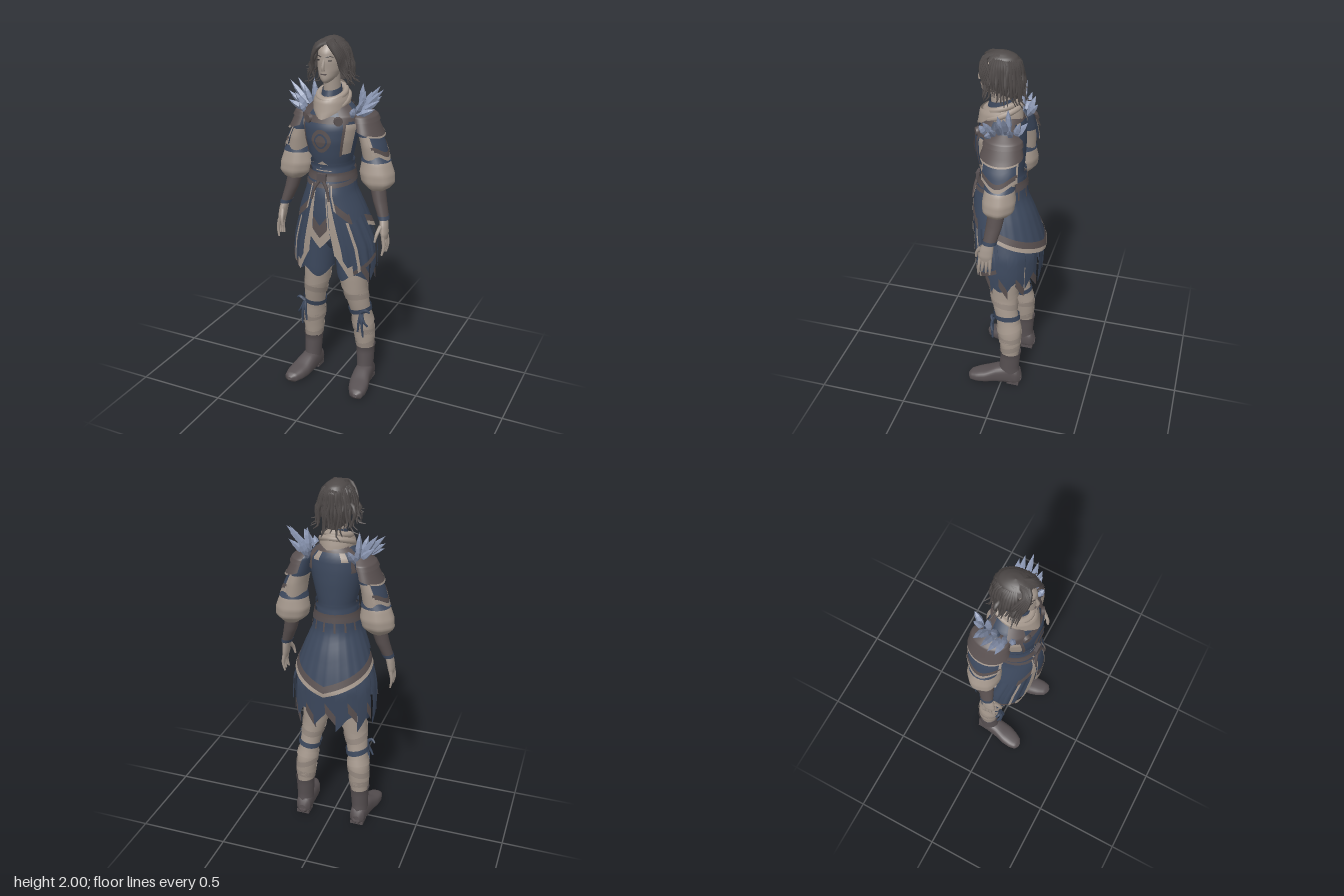
import * as THREE from 'three';
import { mergeVertices } from 'three/addons/utils/BufferGeometryUtils.js';

const mat = (name, color) => Object.assign(new THREE.MeshStandardMaterial({ color, side: THREE.DoubleSide }), { name });
const skin = mat('skin', 0xa5998f), cloth = mat('beige cloth', 0xa5988d), bandage = mat('bandage', 0x978b82);
const navy = mat('navy cloth', 0x3c485d), brown = mat('brown trim', 0x595050), leather = mat('boot leather', 0x575052);
const hair = mat('hair', 0x4d4847), crystal = mat('crystal', 0x8a96b2), dark = mat('dark details', 0x2c2a2d);
crystal.flatShading = true;
const PI = Math.PI, V = (p) => new THREE.Vector3(...p);

// Linear lookup in rows sorted by falling or rising first value
function lookup(rows, k) {
  const up = rows[1][0] > rows[0][0] ? 1 : -1;
  let i = 0;
  while (i < rows.length - 2 && (k - rows[i + 1][0]) * up > 0) i++;
  const a = rows[i], b = rows[i + 1], t = THREE.MathUtils.clamp((k - a[0]) / (b[0] - a[0]), 0, 1);
  return a.map((v, j) => v + (b[j] - v) * t);
}

function add(group, name, geo, material) {
  const mesh = new THREE.Mesh(geo, material);
  mesh.name = name;
  group.add(mesh);
  return mesh;
}

// Surface wrapped round a profile of [y, centreX, radiusX, frontZ, backZ]; angle 0 is the front.
// flare pushes the lower edge out, lean turns the cloth sideways as it falls from the waist
function wrap(group, name, material, profile, o = {}) {
  const { a0 = -PI, a1 = PI, top = profile[0][0], bot = profile[profile.length - 1][0], push = 0, pleat = 0, flare = 0, lean = 0, n = 28, m = 14, p = 1 } = o;
  let geo = new THREE.PlaneGeometry(1, 1, n, m);
  const pos = geo.attributes.position, pw = (v) => Math.sign(v) * Math.abs(v) ** p;
  const val = (f, a) => (typeof f === 'function' ? f(a) : f);
  for (let i = 0; i < pos.count; i++) {
    const a = a0 + (a1 - a0) * (i % (n + 1)) / n, v = Math.floor(i / (n + 1)) / m;
    const y = THREE.MathUtils.lerp(val(top, a), val(bot, a), v), b = a + lean * (1.3 - y) / .57;
    const [, cx, rx, zf, zb] = lookup(profile, y);
    const grow = push + flare * v + pleat * v * Math.sin(a * 22);
    pos.setXYZ(i, cx + (rx + grow) * pw(Math.sin(b)), y, (zf + zb) / 2 + ((zf - zb) / 2 + grow) * pw(Math.cos(b)));
  }
  geo.deleteAttribute('uv');
  geo.deleteAttribute('normal');
  geo = mergeVertices(geo, 1e-5);
  geo.computeVertexNormals();
  return add(group, name, geo, material);
}

// Tapered tube along a smooth path
function strand(group, name, material, pts, r, tip = 0.1, sides = 6) {
  const curve = new THREE.CatmullRomCurve3(pts.map(V)), n = 9;
  const geo = new THREE.TubeGeometry(curve, n, r, sides), pos = geo.attributes.position, q = new THREE.Vector3();
  for (let i = 0; i < pos.count; i++) {
    const t = Math.floor(i / (sides + 1)) / n, c = curve.getPointAt(t);
    q.fromBufferAttribute(pos, i).sub(c).multiplyScalar(1 + (tip - 1) * t ** 1.6).add(c);
    pos.setXYZ(i, q.x, q.y, q.z);
  }
  return add(group, name, geo, material);
}

// Copy of a group reflected across x = 0, with the face order restored
function mirrored(group, name) {
  const out = new THREE.Group();
  out.name = name;
  group.updateMatrixWorld(true);
  group.traverse((o) => {
    if (!o.isMesh) return;
    const geo = o.geometry.clone().applyMatrix4(o.matrixWorld).scale(-1, 1, 1), ix = geo.index;
    for (let i = 0; i < ix.count; i += 3) { const t = ix.getX(i); ix.setX(i, ix.getX(i + 1)); ix.setX(i + 1, t); }
    geo.computeVertexNormals();
    add(out, o.name, geo, o.material);
  });
  return out;
}

const TORSO = [[1.7, 0, .045, .09, -.02], [1.66, 0, .09, .11, -.06], [1.61, 0, .145, .145, -.08], [1.55, 0, .15, .168, -.085],
  [1.48, 0, .135, .172, -.085], [1.4, 0, .115, .16, -.08], [1.34, 0, .1, .146, -.075], [1.25, 0, .115, .16, -.085]];
const SKIRT = [[1.3, 0, .108, .15, -.08], [1.2, 0, .125, .18, -.09], [1.1, 0, .165, .187, -.13], [1, 0, .2, .187, -.162],
  [.9, 0, .23, .182, -.19], [.8, 0, .238, .176, -.185], [.64, 0, .234, .165, -.178]];
const HEAD = [[1.985, 0, .02, .08, .0], [1.965, 0, .045, .115, -.035], [1.93, 0, .06, .142, -.05], [1.88, 0, .064, .147, -.045], [1.84, 0, .059, .145, -.02],
  [1.805, 0, .044, .146, .02], [1.785, 0, .028, .144, .06], [1.772, 0, .008, .13, .09]];
const ARM = [[1.63, .14, .02, .02, -.04], [1.6, .155, .042, .06, -.08], [1.52, .18, .046, .075, -.09], [1.45, .203, .054, .075, -.09], [1.37, .22, .06, .065, -.085]];
const PUFF = [[1.41, .215, .05, .05, -.07], [1.36, .228, .076, .066, -.085], [1.3, .234, .092, .078, -.095], [1.25, .242, .088, .077, -.088], [1.222, .245, .06, .06, -.06], [1.21, .245, .04, .045, -.045]];
const FOREARM = [[1.24, .24, .042, .045, -.045], [1.15, .262, .036, .055, -.03], [1.06, .293, .027, .065, -.005]];
const LEG = [[.95, .09, .085, .09, -.09], [.7, .107, .078, .085, -.08], [.6, .118, .067, .075, -.076], [.52, .135, .06, .055, -.078], [.45, .145, .055, .035, -.09],
  [.38, .154, .06, .028, -.108], [.3, .16, .055, .014, -.104], [.2, .165, .045, 0, -.095]];
const BOOT = [[.235, .166, .056, .014, -.112], [.21, .166, .051, .008, -.107], [.12, .168, .047, .015, -.1], [.03, .17, .045, .03, -.108]];
const FOOT = [[.193, .207, .012, -.02, -.04], [.18, .205, .036, -.004, -.056], [.14, .197, .052, 0, -.068], [.09, .187, .058, 0, -.082],
  [.03, .176, .052, 0, -.11], [-.05, .169, .047, 0, -.13], [-.1, .166, .04, 0, -.1], [-.113, .166, .02, -.015, -.06]];

function buildHead() {
  const g = new THREE.Group();
  g.name = 'head';
  wrap(g, 'face', skin, HEAD, { m: 22 });
  wrap(g, 'neck', skin, [[1.81, 0, .04, .1, 0], [1.64, 0, .046, .09, -.02]]);
  wrap(g, 'collar', navy, [[1.75, 0, .045, .1, -.015], [1.67, 0, .056, .122, -.03]], { top: (a) => 1.742 - .012 * Math.cos(a), m: 3 });
  strand(g, 'nose', skin, [[0, 1.838, .15], [0, 1.855, .153], [0, 1.895, .141]], .011, .4);
  add(g, 'mouth', new THREE.BoxGeometry(.03, .005, .006), brown).position.set(0, 1.82, .1465);
  for (const s of [-1, 1]) {
    const eye = add(g, 'eye', new THREE.BoxGeometry(.02, .006, .006), dark);
    eye.position.set(s * .027, 1.888, .1345);
    eye.rotation.y = s * .35;
    strand(g, 'brow', hair, [[s * .012, 1.904, .143], [s * .03, 1.909, .133], [s * .044, 1.903, .117]], .003, .4);
    const ear = add(g, 'ear', new THREE.SphereGeometry(.02, 8, 6), skin);
    ear.position.set(s * .065, 1.87, .045);
    ear.scale.set(.4, 1, .7);
  }
  // Hair: crown cap, back shell, then tousled locks with curled ends
  const cap = [[1.998, 0, .0005, .041, .039], [1.992, 0, .028, .075, .0], [1.975, 0, .054, .108, -.036], [1.945, 0, .073, .138, -.058], [1.89, 0, .082, .147, -.068], [1.82, 0, .074, .13, -.055], [1.75, 0, .052, .1, -.045]];
  wrap(g, 'hair crown', hair, cap, { bot: (a) => 1.94 + .022 * Math.cos(a) });
  wrap(g, 'hair back', hair, cap, { a0: 1.45, a1: 2 * PI - 1.45, top: 1.96, bot: (a) => 1.8 + .045 * Math.cos(a) });
  for (let i = 0; i < 30; i++) {
    const a = 1.15 + (2 * PI - 2.3) * i / 29, s = Math.sin(a), c = Math.cos(a), j = Math.sin(i * 7.3), k = Math.cos(i * 4.1);
    const low = 1.79 + .015 * c, back = Math.max(0, -c);
    strand(g, 'hair lock', hair, [[.026 * s, 1.978, .04 + .03 * c], [.07 * s, 1.942, .04 + .09 * c],
      [(.092 + .008 * j) * s, 1.885, .04 + (.1 + .006 * k) * c], [(.1 + .012 * k) * s + .008 * j, 1.84 + .015 * k, .037 + .108 * c],
      [(.107 + .014 * j) * s, low + .02 * j - .02 * back, .03 + (.095 + .02 * k) * c],
      [(.122 + .016 * k) * s + .012 * j, low - .012 + .025 * j - .02 * back, .03 + (.115 + .025 * k) * c]], .0145, .15, 5);
  }
  for (const s of [-1, 1]) for (let i = 0; i < 6; i++) {
    const j = Math.sin(i * 5.1 + s);
    strand(g, 'fringe', hair, [[s * .006, 1.984 - .003 * i, .05 + .011 * i], [s * (.045 - .003 * i), 1.968 - .002 * i, .107 + .004 * i],
      [s * (.08 - .002 * i), 1.93 - .006 * i, .088 + .008 * i], [s * (.098 - .004 * i), 1.885 - .009 * i, .07 + .008 * i],
      [s * (.105 + .01 * j), 1.85 - .011 * i, .075 + .006 * i], [s * (.128 - .004 * i), 1.85 - .018 * i + .01 * j, .08 + .004 * i]], .012, .15, 5);
  }
  return g;
}

function buildTorso() {
  const g = new THREE.Group();
  g.name = 'torso';
  wrap(g, 'tunic', navy, TORSO, { m: 20 });
  wrap(g, 'chest plate', navy, TORSO, { a0: -.8, a1: .8, top: 1.6, bot: (a) => 1.4 - .03 * Math.cos(a * 2), push: .009 });
  for (const [r, m, push] of [[.38, brown, .013], [.25, navy, .015], [.19, brown, .017]]) {
    const arch = (a) => Math.cos(a / r * PI / 2) ** .6 * r * .16;
    wrap(g, 'chest emblem', m, TORSO, { a0: -r, a1: r, top: (a) => 1.485 + arch(a), bot: (a) => 1.485 - arch(a), push });
  }
  wrap(g, 'chest top trim', brown, TORSO, { a0: -.9, a1: .9, top: 1.61, bot: 1.575, push: .012, m: 3 });
  wrap(g, 'waist lining', cloth, TORSO, { a0: -.4, a1: .4, top: (a) => 1.375 - .08 * Math.abs(a), bot: 1.32, push: .011, m: 4 });
  for (const s of [-1, 1]) {
    const arc = (from, to) => (s > 0 ? { a0: from, a1: to } : { a0: -to, a1: -from });
    wrap(g, 'chest side trim', brown, TORSO, { ...arc(.72, .82), top: 1.59, bot: 1.405, push: .012, n: 3 });
    wrap(g, 'side cloth', cloth, TORSO, { ...arc(.83, 1.3), top: 1.57, bot: 1.41, push: .006, n: 8 });
    wrap(g, 'shoulder strap', brown, TORSO, { ...arc(.55, 1.25), top: 1.675, bot: 1.585, push: .014, n: 8 });
    wrap(g, 'back strap', brown, TORSO, { ...arc(2, 2.4), top: 1.66, bot: 1.54, push: .008, n: 8 });
    wrap(g, 'back patch', cloth, TORSO, { ...arc(2.5, 2.75), top: 1.645, bot: 1.6, push: .009, n: 4, m: 4 });
    const disc = add(g, 'roundel', new THREE.CylinderGeometry(.021, .025, .018, 14), brown);
    disc.position.set(s * .083, 1.588, .148);
    disc.rotation.set(PI / 2, 0, -s * .5);
  }
  wrap(g, 'back collar', brown, TORSO, { a0: 2.1, a1: 2 * PI - 2.1, top: 1.67, bot: 1.645, push: .01, m: 3 });
  // Cowl with loose rolled folds
  wrap(g, 'cowl', cloth, [[1.76, 0, .06, .11, -.045], [1.72, 0, .074, .135, -.06], [1.68, 0, .09, .155, -.068], [1.63, 0, .094, .164, -.075], [1.58, 0, .055, .176, -.06]],
    { bot: (a) => 1.645 - .05 * Math.max(0, Math.cos(a)) ** 3, top: (a) => 1.725 - .035 * Math.cos(a), pleat: .002 });
  [[1.71, .068, .042], [1.675, .082, .04]].forEach(([y, r, z], i) => {
    const fold = add(g, 'cowl fold', new THREE.TorusGeometry(r, .016, 8, 28), cloth);
    fold.position.set(0, y, z);
    fold.rotation.x = PI / 2 + .3 + i * .1;
    fold.scale.y = 1.2;
  });
  wrap(g, 'upper sash', navy, TORSO, { top: 1.355, bot: 1.325, push: .012, m: 3 });
  wrap(g, 'belt', brown, SKIRT, { top: 1.312, bot: 1.268, push: .014, m: 4 });
  wrap(g, 'lower belt', leather, SKIRT, { top: (a) => 1.272 - .015 * Math.cos(a), bot: (a) => 1.25 - .015 * Math.cos(a), push: .016, m: 3 });
  add(g, 'buckle', new THREE.BoxGeometry(.05, .045, .02), leather).position.set(0, 1.287, .17);
  for (const s of [-1, 1]) strand(g, 'belt tail', brown, [[s * .012, 1.27, .176], [s * .035, 1.23, .184], [s * .05, 1.17, .192]], .009, .6);
  return g;
}

function buildSkirt() {
  const g = new THREE.Group();
  g.name = 'skirt';
  const frontHem = (a) => lookup([[.14, .86], [.38, .73], [1.3, .83]], Math.abs(a))[1];
  const flapHem = (a) => lookup([[.35, 1.12], [.75, 1.04], [1.6, 1.1]], Math.abs(a))[1];
  const backHem = (a) => .875 + .082 * Math.abs(a - PI);
  // Ragged underskirt strips round the sides and back
  for (let i = 0; i < 16; i++) {
    const w = (2 * PI - 2) / 16, a0 = 1 + i * w, end = .715 + .03 * Math.sin(i * 2.7), slant = i % 2 ? .08 : -.08;
    const hem = (a) => end + slant * (a - a0 - w / 2) / w;
    const o = { a0, a1: a0 + w * 1.08, push: i % 2 ? .002 : -.012, n: 4 };
    wrap(g, 'underskirt strip', navy, SKIRT, { ...o, top: 1.1, bot: hem });
    if (i % 2 === 0) wrap(g, 'strip trim', brown, SKIRT, { ...o, top: (a) => hem(a) + .06, bot: hem, push: o.push + .003, m: 3 });
  }
  // Back panel with brown and beige hem
  const b = { a0: 1.45, a1: 2 * PI - 1.45, n: 40 };
  wrap(g, 'back panel', navy, SKIRT, { ...b, top: 1.3, bot: backHem, push: .008, pleat: .003 });
  wrap(g, 'back brown trim', brown, SKIRT, { ...b, top: (a) => backHem(a) + .06, bot: (a) => backHem(a) + .02, push: .013, m: 3 });
  wrap(g, 'back beige trim', cloth, SKIRT, { ...b, top: (a) => backHem(a) + .023, bot: backHem, push: .014, m: 3 });
  for (let i = 0; i < 6; i++) wrap(g, 'belt tab', brown, SKIRT, { a0: 2 + i * .44, a1: 2.08 + i * .44, top: 1.27, bot: 1.21, push: .014, n: 2, m: 3 });
  // Split front panels, falling outward from the waist
  for (const s of [-1, 1]) {
    const arc = (from, to) => ({ ...(s > 0 ? { a0: from, a1: to } : { a0: -to, a1: -from }), lean: s * .25 });
    wrap(g, 'front panel', navy, SKIRT, { ...arc(.14, 1.3), top: 1.3, bot: frontHem, push: .002, pleat: .005, n: 36 });
    wrap(g, 'front edge trim', cloth, SKIRT, { ...arc(.12, .3), top: 1.26, bot: frontHem, push: .009, n: 6 });
    wrap(g, 'front hem trim', cloth, SKIRT, { ...arc(.14, .5), top: (a) => frontHem(a) + .06, bot: frontHem, push: .01, m: 4 });
    wrap(g, 'side edge trim', cloth, SKIRT, { ...arc(.62, .7), top: 1.05, bot: frontHem, push: .009, n: 3 });
    wrap(g, 'side hem trim', brown, SKIRT, { ...arc(.5, 1.3), top: (a) => frontHem(a) + .025, bot: frontHem, push: .008, m: 3 });
    wrap(g, 'hip flap', navy, SKIRT, { ...arc(.36, 1.45), top: 1.3, bot: flapHem, push: .012 });
    wrap(g, 'hip flap trim', brown, SKIRT, { ...arc(.36, .8), top: (a) => flapHem(a) + .055, bot: flapHem, push: .016, m: 3 });
    wrap(g, 'hip flap edge', cloth, SKIRT, { ...arc(.36, .42), top: 1.25, bot: flapHem, push: .017, n: 2 });
  }
  const tip = (a) => .9 + .25 * Math.abs(a);
  wrap(g, 'centre panel', navy, SKIRT, { a0: -.26, a1: .26, top: 1.28, bot: tip, push: .013 });
  wrap(g, 'centre panel band', brown, SKIRT, { a0: -.2, a1: .2, top: (a) => tip(a) + .13, bot: (a) => tip(a) + .06, push: .015, m: 4 });
  wrap(g, 'centre panel hem', cloth, SKIRT, { a0: -.26, a1: .26, top: (a) => tip(a) + .06, bot: tip, push: .016, m: 4 });
  for (const a of [-.25, .21]) wrap(g, 'centre panel edge', cloth, SKIRT, { a0: a, a1: a + .04, top: 1.24, bot: .99, push: .016, n: 2 });
  wrap(g, 'pelvis', navy, [[1.1, 0, .13, .12, -.1], [.9, 0, .16, .09, -.09], [.84, 0, .1, .05, -.05], [.82, 0, .01, .01, -.01]]);
  return g;
}

function buildArm() {
  const g = new THREE.Group();
  g.name = 'left arm';
  const hem = (a) => 1.39 + .02 * Math.sin(a * 3), f = { a0: .45, a1: 2.75 };
  wrap(g, 'undersleeve', cloth, ARM, { top: 1.56 });
  wrap(g, 'shoulder', navy, ARM, { bot: 1.5, push: .003 });
  // Flaring shoulder flaps, layered downward
  wrap(g, 'sleeve flap', navy, ARM, { ...f, top: 1.58, bot: hem, push: .008, flare: .01 });
  wrap(g, 'sleeve trim', cloth, ARM, { ...f, top: (a) => hem(a) + .02, bot: hem, push: .021, m: 3 });
  wrap(g, 'sleeve brown trim', brown, ARM, { ...f, top: (a) => hem(a) + .045, bot: (a) => hem(a) + .02, push: .02, m: 3 });
  for (const a of [.42, 2.62]) wrap(g, 'sleeve side edge', cloth, ARM, { a0: a, a1: a + .18, top: 1.55, bot: hem, push: .013, flare: .009, n: 3 });
  wrap(g, 'shoulder plate', brown, ARM, { a0: -.2, a1: 3.3, bot: (a) => 1.525 - .03 * Math.sin(a), push: .014, flare: .014 });
  wrap(g, 'shoulder plate trim', cloth, ARM, { a0: .5, a1: 2.6, top: (a) => 1.532 - .03 * Math.sin(a), bot: (a) => 1.523 - .03 * Math.sin(a), push: .03, m: 2 });
  wrap(g, 'upper shoulder plate', brown, ARM, { a0: -.2, a1: 3.3, bot: 1.575, push: .022, flare: .008 });
  wrap(g, 'puff sleeve', cloth, PUFF, { pleat: .003, m: 18 });
  wrap(g, 'sleeve tie', navy, PUFF, { top: 1.395, bot: 1.365, push: .006, m: 3 });
  wrap(g, 'forearm guard', brown, FOREARM);
  wrap(g, 'wrist band', navy, FOREARM, { top: 1.08, bot: 1.06, push: .003, m: 2 });
  wrap(g, 'hand', skin, [[1.07, .292, .022, .06, .005], [1.03, .3, .021, .076, .006], [.985, .306, .019, .085, .01], [.955, .308, .012, .08, .016]]);
  for (let i = 0; i < 4; i++) strand(g, 'finger', skin, [[.308, .975, .022 + i * .018], [.316, .92, .022 + i * .02], [.308, .872 + (i % 3) * .008, .026 + i * .021]], .0105, .5);
  strand(g, 'thumb', skin, [[.292, 1.03, .07], [.282, .99, .1], [.275, .95, .108]], .012, .5);
  // Crystal spikes fanning from the shoulder: base z, then tip
  [[.01, .265, 1.74, .0], [.04, .258, 1.69, .03], [-.02, .235, 1.75, -.03], [.06, .245, 1.65, .06], [-.04, .23, 1.69, -.06], [.05, .195, 1.7, .085],
    [.0, .175, 1.73, .015], [-.03, .14, 1.755, -.03], [-.06, .16, 1.7, -.095], [-.06, .105, 1.68, -.12], [.09, .155, 1.66, .115]].forEach(([z, ...t]) => {
    const base = V([.13, 1.6, z]), dir = V(t).sub(base), len = dir.length();
    const geo = new THREE.LatheGeometry([[.008, 0], [.018, len * .45], [.013, len * .72], [0, len]].map((p) => new THREE.Vector2(...p)), 5);
    const spike = add(g, 'crystal spike', geo, crystal);
    spike.position.copy(base);
    spike.quaternion.setFromUnitVectors(V([0, 1, 0]), dir.normalize());
  });
  return g;
}

function buildLeg() {
  const g = new THREE.Group();
  g.name = 'left leg';
  wrap(g, 'stocking', cloth, LEG, { m: 24 });
  wrap(g, 'shorts', navy, LEG, { bot: (a) => .695 + .025 * Math.sin(a * 3), push: .012, n: 32 });
  [.62, .56, .4, .35, .3, .26].forEach((y, i) => {
    const mid = (a) => y + (i % 2 ? .018 : -.018) * Math.sin(a + i);
    wrap(g, 'leg wrap', i % 2 ? bandage : cloth, LEG, { top: (a) => mid(a) + .018, bot: (a) => mid(a) - .018, push: .005, m: 3 });
  });
  wrap(g, 'knee tie', navy, LEG, { top: (a) => .49 + .012 * Math.sin(a), bot: (a) => .46 + .012 * Math.sin(a), push: .009, m: 3 });
  for (const [x, y, z] of [[.19, .33, .05], [.16, .36, .055], [.215, .4, .045]]) strand(g, 'tie end', navy, [[.175, .48, .04], [(x + .175) / 2, .43, .055], [x, y, z]], .009, .6);
  strand(g, 'tie bow', navy, [[.175, .48, .045], [.205, .5, .05], [.225, .485, .04]], .011, .5);
  wrap(g, 'boot shaft', leather, BOOT);
  wrap(g, 'boot foot', leather, FOOT, { p: .75, m: 22 }).rotation.x = PI / 2;
  add(g, 'boot heel', new THREE.BoxGeometry(.075, .02, .07), leather).position.set(.167, .01, -.07);
  return g;
}

export function createModel() {
  const model = new THREE.Group(), arm = buildArm(), leg = buildLeg();
  model.name = 'adventurer';
  model.add(buildHead(), buildTorso(), buildSkirt(), arm, mirrored(arm, 'right arm'), leg, mirrored(leg, 'right leg'));
  return model;
}
